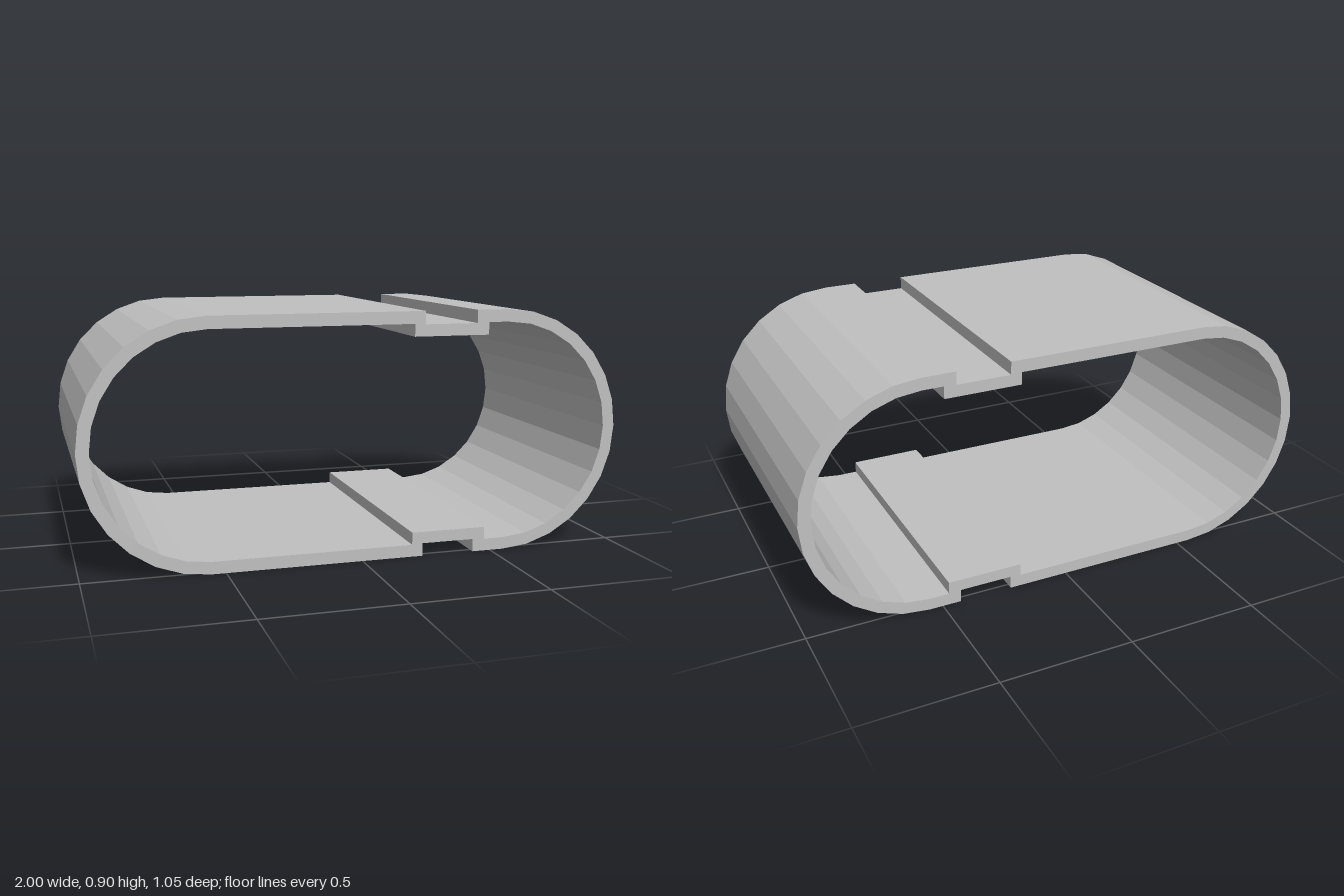
import * as THREE from 'three';

const HEIGHT = 0.897, DEPTH = 1.048, WALL = 0.045;
const MID = HEIGHT / 2, ARC_X = 1 - MID, SEGMENTS = 14;

// Counter-clockwise stadium outline with a step towards the middle, top and bottom
function outline(radius, stepLeft, stepRight, stepHalfHeight) {
  const points = [];
  const add = (x, y) => points.push(new THREE.Vector2(x, MID + y));
  const arc = (centreX, start) => {
    for (let i = 0; i <= SEGMENTS; i++) {
      const a = start + (Math.PI * i) / SEGMENTS;
      add(centreX + radius * Math.cos(a), radius * Math.sin(a));
    }
  };
  const step = (from, to, side) => {
    add(from, side * radius);
    add(from, side * stepHalfHeight);
    add(to, side * stepHalfHeight);
    add(to, side * radius);
  };
  arc(ARC_X, -Math.PI / 2);
  step(stepRight, stepLeft, 1);
  arc(-ARC_X, Math.PI / 2);
  step(stepLeft, stepRight, -1);
  return points;
}

export function createModel() {
  const grey = new THREE.MeshStandardMaterial({ color: 0xc0c0c0 });
  grey.name = 'light grey';

  // Open sleeve: outer outline with grooves, inner opening with matching ridges
  const profile = new THREE.Shape(outline(MID, 0.23, 0.43, 0.401));
  profile.holes.push(new THREE.Path(outline(MID - WALL, 0.19, 0.475, 0.358)));
  const geometry = new THREE.ExtrudeGeometry(profile, { depth: DEPTH, bevelEnabled: false });
  geometry.translate(0, 0, -DEPTH / 2);

  const sleeve = new THREE.Mesh(geometry, grey);
  sleeve.name = 'groovedSleeve';
  const model = new THREE.Group();
  model.name = 'ovalSleeve';
  model.add(sleeve);
  return model;
}
